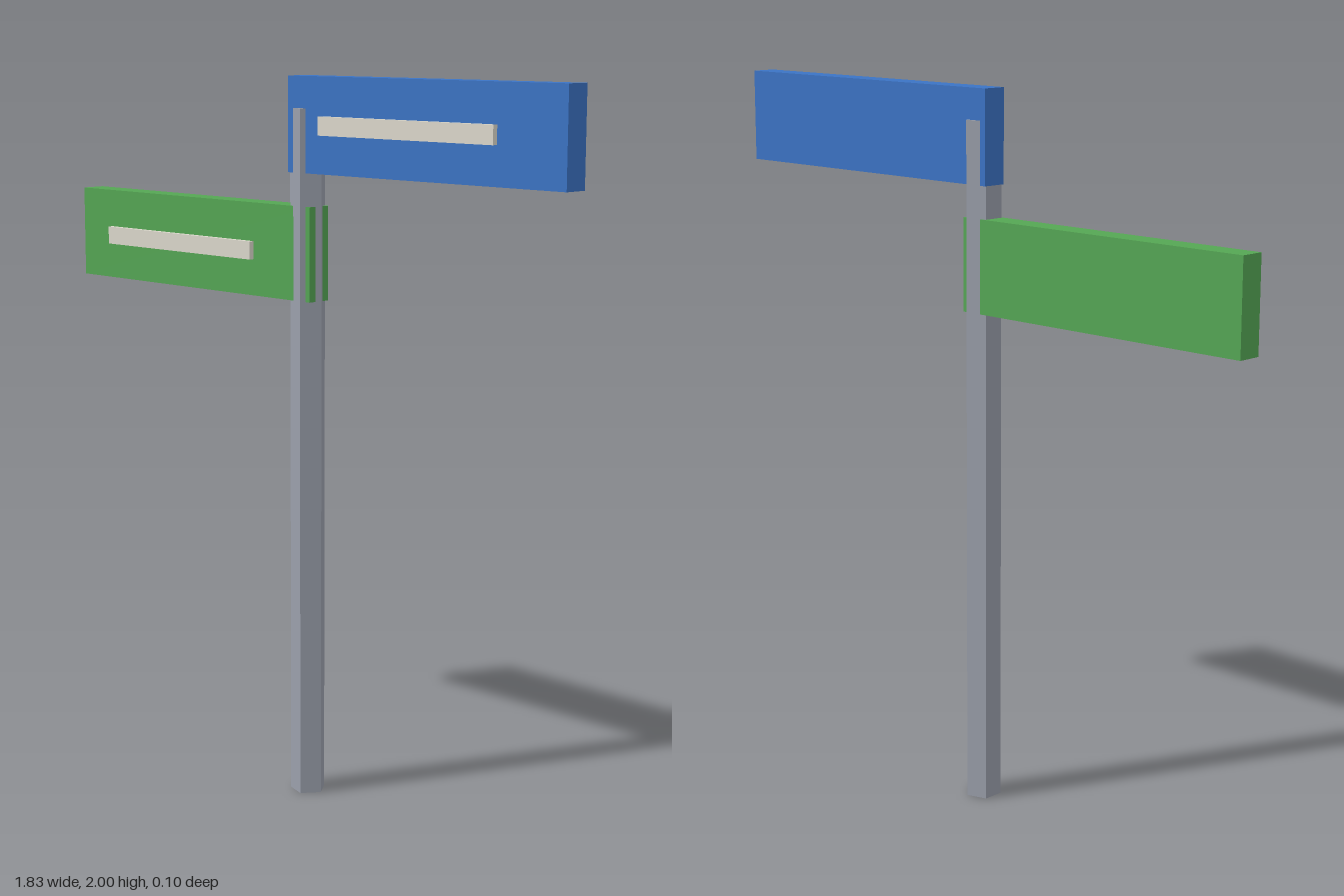
import * as THREE from 'three';

const mat = (color) => new THREE.MeshStandardMaterial({ color, flatShading: true });

export function createModel() {
  const model = new THREE.Group();
  model.name = 'streetSign';

  // Five-sided post with one edge pointing to +x
  const postHeight = 1.915;
  const post = new THREE.Mesh(
    new THREE.CylinderGeometry(0.05, 0.05, postHeight, 5).rotateY(Math.PI / 2),
    mat(0x9a9fab)
  );
  post.name = 'post';
  post.position.y = postHeight / 2;
  model.add(post);

  // Sign board with a raised pale bar on its front face
  const boardDepth = 0.07;
  const barMaterial = mat(0xdcd8cc);
  const addSign = (name, color, x, y, barX, barY) => {
    const sign = new THREE.Group();
    sign.name = name;
    const board = new THREE.Mesh(new THREE.BoxGeometry(0.954, 0.257, boardDepth), mat(color));
    board.name = name + 'Board';
    board.position.set(x, y, 0);
    const bar = new THREE.Mesh(new THREE.BoxGeometry(0.606, 0.05, 0.03), barMaterial);
    bar.name = name + 'Bar';
    bar.position.set(barX, barY, boardDepth / 2);
    sign.add(board, bar);
    model.add(sign);
  };

  addSign('upperSign', 0x3b73c4, 0.434, 1.8715, 0.388, 1.871);
  addSign('lowerSign', 0x55a654, -0.437, 1.525, -0.483, 1.522);

  return model;
}
